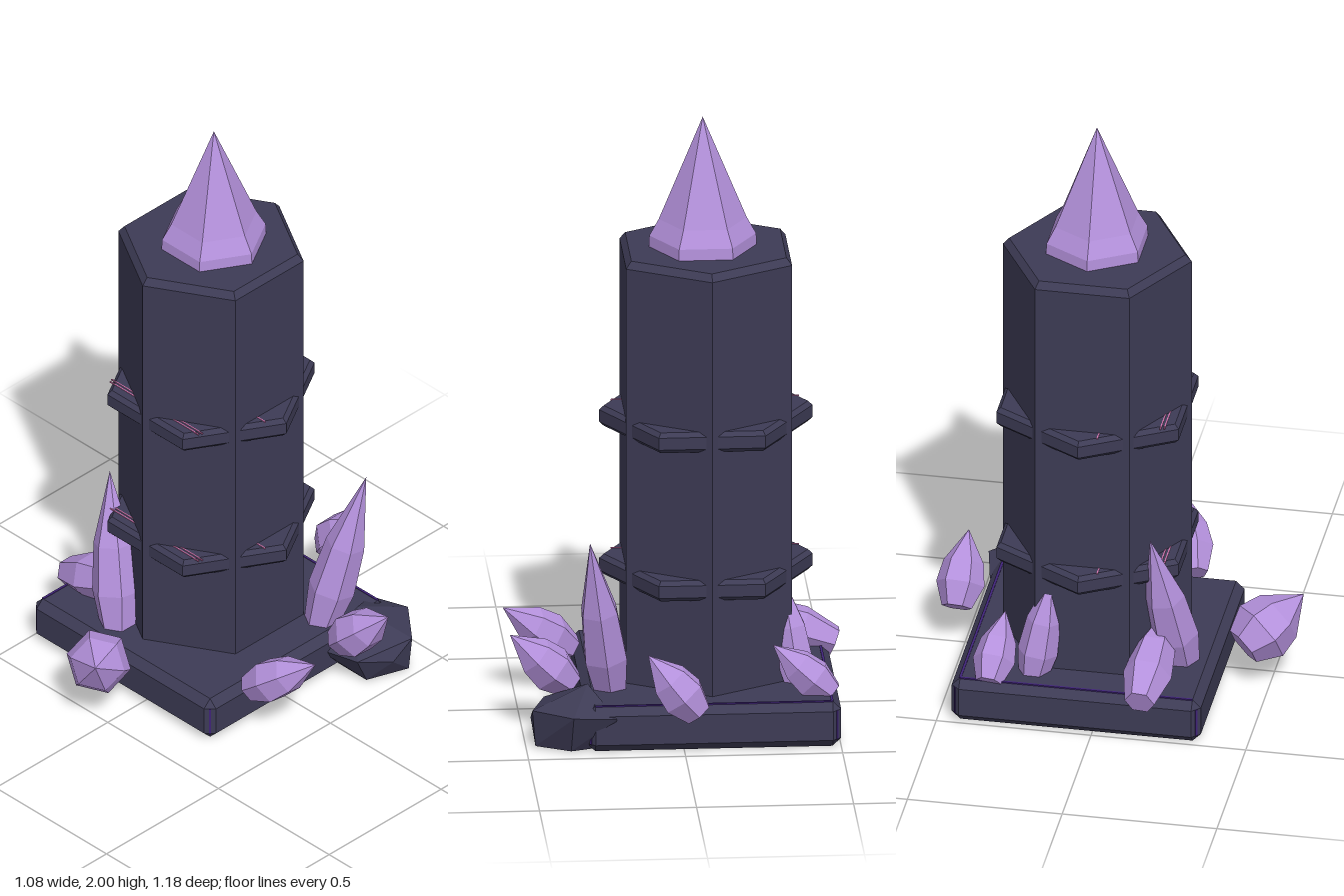
import * as THREE from 'three';
import { ConvexGeometry } from 'three/addons/geometries/ConvexGeometry.js';

const mat = (name, color, flatShading = true) => {
  const m = new THREE.MeshStandardMaterial({ color, flatShading });
  m.name = name;
  return m;
};

export function createModel() {
  const root = new THREE.Group();
  root.name = 'crystalPillar';
  const stone = mat('dark stone', 0x3d3b55);
  const crystal = mat('lilac crystal', 0xb491dc);
  const violet = mat('violet trim', 0x3f2378);
  const pink = mat('pink glow', 0xd878b4);

  const add = (name, geometry, material, x = 0, y = 0, z = 0) => {
    const mesh = new THREE.Mesh(geometry, material);
    mesh.name = name;
    mesh.position.set(x, y, z);
    root.add(mesh);
    return mesh;
  };

  // Six-sided faceted solid from a [radius, height] profile, listed bottom to top
  const hexSolid = (profile, phi = 0) => {
    const pts = profile.map(([r, y]) => new THREE.Vector2(r, y));
    const g = new THREE.LatheGeometry(pts, 6, phi).toNonIndexed();
    g.computeVertexNormals();
    return g;
  };

  // Box with chamfered edges and corners
  const chamferBox = (w, h, d, c) => {
    const pts = [];
    for (const sx of [-1, 1]) for (const sy of [-1, 1]) for (const sz of [-1, 1]) {
      for (let k = 0; k < 3; k++) {
        const cut = [0, 1, 2].map((i) => (i === k ? 0 : c));
        pts.push(new THREE.Vector3(sx * (w / 2 - cut[0]), sy * (h / 2 - cut[1]), sz * (d / 2 - cut[2])));
      }
    }
    return new ConvexGeometry(pts);
  };

  const CX = -0.095, CZ = -0.055;

  // Plinth
  add('plinth', chamferBox(0.81, 0.15, 0.805, 0.027), stone, CX, 0.08, -0.0525);

  // Fine trim along two top edges of the plinth and its upright corners
  add('plinthTrimLeft', new THREE.BoxGeometry(0.008, 0.004, 0.75), violet, -0.472, 0.155, -0.0525);
  add('plinthTrimBack', new THREE.BoxGeometry(0.755, 0.004, 0.008), violet, CX, 0.155, -0.428);
  for (const sx of [-1, 1]) for (const sz of [-1, 1]) {
    const t = add('plinthCornerTrim', new THREE.BoxGeometry(0.006, 0.096, 0.006), violet,
      CX + sx * 0.391, 0.08, -0.0525 + sz * 0.389);
    t.rotation.y = Math.PI / 4;
  }

  // Hexagonal column
  add('column', hexSolid([[0, 0.15], [0.305, 0.15], [0.305, 1.545], [0.285, 1.568], [0, 1.568]]), stone, CX, 0, CZ);

  // Two bands turned so that their corners jut from the column faces
  const band = hexSolid([[0, -0.034], [0.325, -0.034], [0.34, -0.02], [0.34, 0.02], [0.325, 0.034], [0, 0.034]], Math.PI / 6);
  for (const y of [0.505, 1.003]) {
    add('band', band, stone, CX, y, CZ);
    for (const [z, w] of [[0.186, 0.41], [0.198, 0.4], [0, 0.6]]) {
      add('bandGlow', new THREE.BoxGeometry(w, 0.004, 0.004), pink, CX, y + 0.034, z);
    }
  }

  // Crown crystal
  add('crownCrystal', hexSolid([[0, 1.565], [0.172, 1.565], [0.17, 1.605], [0.14, 1.66], [0, 2]], Math.PI / 6),
    crystal, -0.085, 0, -0.058).geometry.computeBoundingBox();

  // Crystal shards: butt centre, tip, greatest radius
  const shards = [
    [[-0.04, 0.155, -0.52], [0.12, 0.35, -0.51], 0.078],
    [[0.345, 0.15, -0.19], [0.54, 0.33, -0.22], 0.078],
    [[0.32, 0.145, 0.18], [0.54, 0.31, 0.105], 0.074],
    [[-0.115, 0.155, 0.42], [0.033, 0.28, 0.588], 0.105],
    [[-0.52, 0.155, 0.16], [-0.16, 0.29, 0.18], 0.078],
    [[-0.205, 0.09, 0.25], [-0.335, 0.645, 0.16], 0.078],
    [[0.215, 0.09, -0.22], [0.295, 0.68, -0.363], 0.076],
    [[-0.475, 0.15, -0.335], [-0.29, 0.31, -0.315], 0.068],
    [[-0.385, 0.1, -0.215], [-0.33, 0.49, -0.155], 0.065],
  ];
  const up = new THREE.Vector3(0, 1, 0);
  for (const [from, to, r] of shards) {
    const a = new THREE.Vector3(...from);
    const axis = new THREE.Vector3(...to).sub(a);
    const len = axis.length();
    const g = hexSolid([[0, 0], [r * 0.62, 0], [r, len * 0.3], [r * 0.84, len * 0.58], [0, len]]);
    add('crystalShard', g, crystal, ...from).quaternion.setFromUnitVectors(up, axis.normalize());
  }

  // Boulder at the back left corner
  const boulder = [
    [0.355, 0.135, -0.49], [0.215, 0.12, -0.46], [0.48, 0.13, -0.385], [0.48, 0.08, -0.3],
    [0.3, 0.195, -0.32], [0.27, 0.09, -0.17], [0.43, 0.11, -0.19], [0.47, 0.01, -0.38],
    [0.36, 0.01, -0.44], [0.24, 0.01, -0.4], [0.3, 0.01, -0.24], [0.42, 0.01, -0.24],
  ].map((p) => new THREE.Vector3(...p));
  add('boulder', new ConvexGeometry(boulder), stone);

  return root;
}
